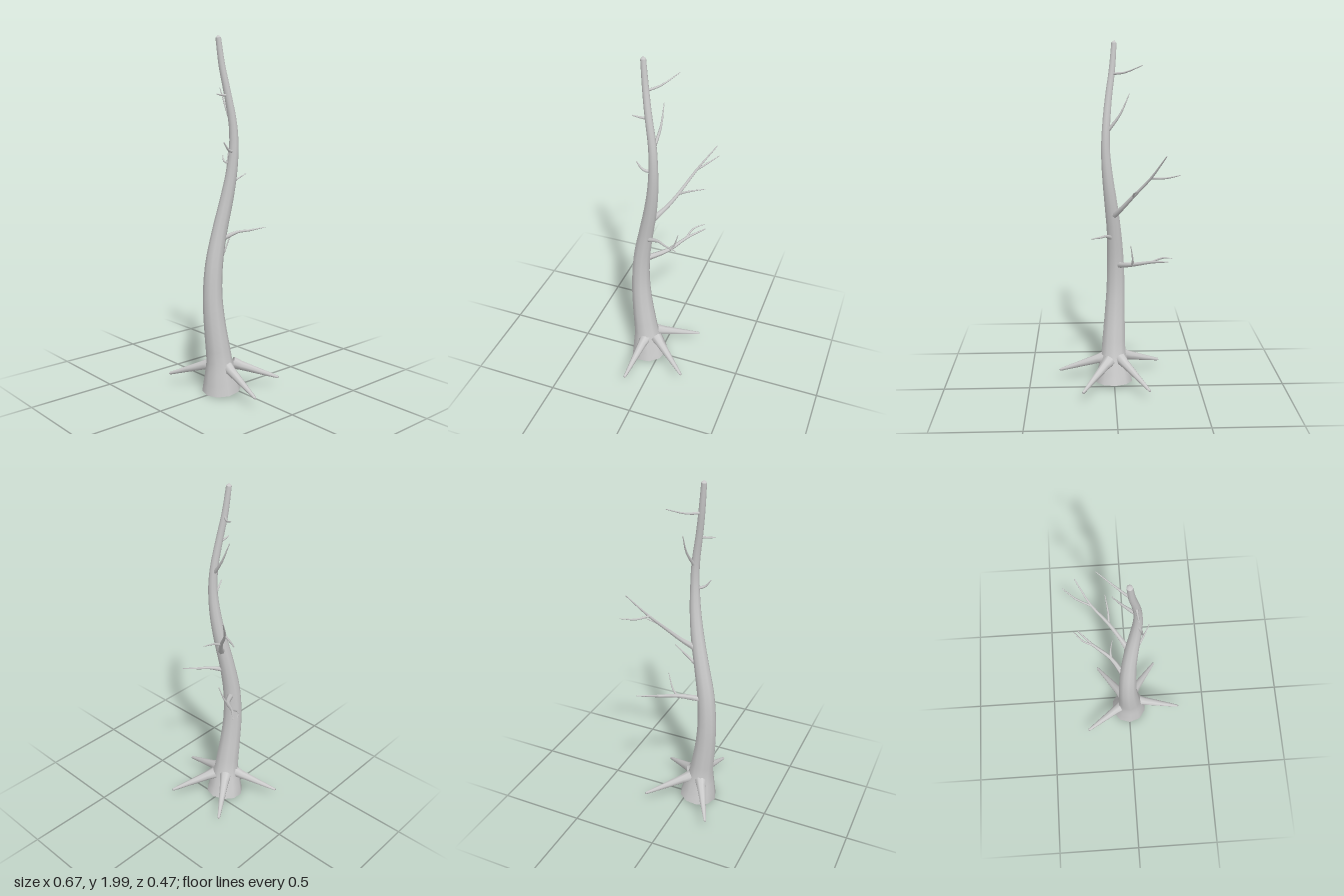
import * as THREE from 'three';

const material = new THREE.MeshStandardMaterial({ color: 0xcccccc, side: THREE.DoubleSide });

// Smooth tapered limb through stations [x, y, z, radius]; open at the base, closed by a low cone of height tip
function limb(name, stations, { sides = 6, rings = 6, tip = 0.005 } = {}) {
  const curve = new THREE.CatmullRomCurve3(stations.map(([x, y, z]) => new THREE.Vector3(x, y, z)), false, 'centripetal');
  const last = stations.length - 1;
  const pos = [], index = [];
  const normal = new THREE.Vector3(1, 0, 0.31), side = new THREE.Vector3();
  let end, tangent;
  for (let i = 0; i <= rings; i++) {
    const t = i / rings, f = Math.min(t * last, last - 1e-6), k = Math.floor(f);
    const r = THREE.MathUtils.lerp(stations[k][3], stations[k + 1][3], f - k);
    end = curve.getPoint(t);
    tangent = curve.getTangent(t);
    normal.addScaledVector(tangent, -normal.dot(tangent)).normalize();
    side.crossVectors(tangent, normal);
    for (let j = 0; j < sides; j++) {
      const a = (j / sides) * Math.PI * 2;
      const p = end.clone().addScaledVector(normal, r * Math.cos(a)).addScaledVector(side, r * Math.sin(a));
      pos.push(p.x, p.y, p.z);
      if (i < rings) {
        const b = i * sides + j, c = i * sides + (j + 1) % sides;
        index.push(b, c, c + sides, b, c + sides, b + sides);
      }
    }
  }
  // End cap with its own rim so the edge stays sharp
  const rim = pos.slice(-sides * 3), start = pos.length / 3;
  const apex = end.addScaledVector(tangent, tip);
  pos.push(...rim, apex.x, apex.y, apex.z);
  for (let j = 0; j < sides; j++) index.push(start + j, start + (j + 1) % sides, start + sides);

  const geometry = new THREE.BufferGeometry();
  geometry.setAttribute('position', new THREE.Float32BufferAttribute(pos, 3));
  geometry.setIndex(index);
  geometry.computeVertexNormals();
  const mesh = new THREE.Mesh(geometry, material);
  mesh.name = name;
  return mesh;
}

export function createModel() {
  const tree = new THREE.Group();
  tree.name = 'bareTree';

  // Swaying trunk, flared at the foot and hollow underneath
  tree.add(limb('trunk', [
    [0, 0.02, 0.067, 0.111], [0.003, 0.2, 0.086, 0.073], [-0.004, 0.4, 0.111, 0.062],
    [-0.01, 0.57, 0.122, 0.055], [-0.009, 0.75, 0.113, 0.05], [0, 0.93, 0.082, 0.043],
    [0.018, 1.1, 0.048, 0.038], [0.036, 1.25, 0.026, 0.032], [0.048, 1.4, 0.017, 0.026],
    [0.046, 1.53, 0.022, 0.023], [0.031, 1.7, 0.049, 0.02], [0.012, 1.84, 0.07, 0.018],
    [0, 1.985, 0.085, 0.015],
  ], { sides: 10, rings: 36, tip: 0.014 }));

  // Four straight roots reaching out and down
  const roots = new THREE.Group();
  roots.name = 'roots';
  [
    [[0.05, 0.17, 0.072], [0.32, 0.074, 0.103]],
    [[0.03, 0.17, 0.01], [0.183, 0.074, -0.203]],
    [[-0.035, 0.17, 0.035], [-0.193, 0.074, -0.193]],
    [[-0.045, 0.17, 0.1], [-0.272, 0.074, 0.229]],
  ].forEach(([a, b], i) => roots.add(
    limb(`root${i + 1}`, [[...a, 0.036], [...b, 0.008]], { sides: 8, rings: 3, tip: 0.01 })));
  tree.add(roots);

  // Thin branches with their side twigs
  const branches = new THREE.Group();
  branches.name = 'branches';
  const branchPaths = {
    lowBranch: [[-0.03, 0.735, 0.08, 0.018], [-0.1, 0.768, -0.02, 0.012], [-0.2, 0.805, -0.095, 0.008], [-0.285, 0.832, -0.18, 0.003]],
    lowBranchFork: [[-0.195, 0.803, -0.092, 0.006], [-0.26, 0.835, -0.115, 0.005], [-0.307, 0.848, -0.167, 0.002]],
    lowBranchTwig: [[-0.1, 0.768, -0.025, 0.008], [-0.1, 0.81, -0.052, 0.005], [-0.087, 0.895, -0.08, 0.002]],
    backBranch: [[0.02, 0.905, 0.06, 0.014], [0.05, 0.933, -0.01, 0.008], [0.085, 0.94, -0.065, 0.006], [0.13, 0.955, -0.143, 0.002]],
    highBranch: [[0, 1.045, 0.035, 0.02], [-0.045, 1.1, -0.02, 0.013], [-0.1, 1.175, -0.075, 0.01], [-0.19, 1.29, -0.145, 0.007], [-0.262, 1.42, -0.236, 0.003]],
    highBranchFork: [[-0.187, 1.288, -0.14, 0.006], [-0.265, 1.295, -0.18, 0.005], [-0.333, 1.32, -0.233, 0.002]],
    highBranchTwig: [[-0.1, 1.17, -0.07, 0.007], [-0.1, 1.202, -0.135, 0.005], [-0.112, 1.23, -0.222, 0.002]],
    upperBranch: [[0.04, 1.515, 0.018, 0.011], [-0.03, 1.61, 0.004, 0.006], [-0.08, 1.72, 0.005, 0.002]],
    topBranch: [[0.012, 1.822, 0.068, 0.008], [-0.055, 1.832, 0.012, 0.005], [-0.145, 1.873, -0.055, 0.002]],
    upperFrontStub: [[0.034, 1.683, 0.05, 0.008], [0.038, 1.684, 0.088, 0.006], [0.042, 1.69, 0.13, 0.003]],
    lowerFrontStub: [[0.05, 1.38, 0.025, 0.01], [0.064, 1.393, 0.068, 0.007], [0.066, 1.435, 0.103, 0.003]],
  };
  for (const [name, path] of Object.entries(branchPaths)) {
    branches.add(limb(name, path, { sides: 6, rings: (path.length - 1) * 3 }));
  }
  tree.add(branches);
  return tree;
}
